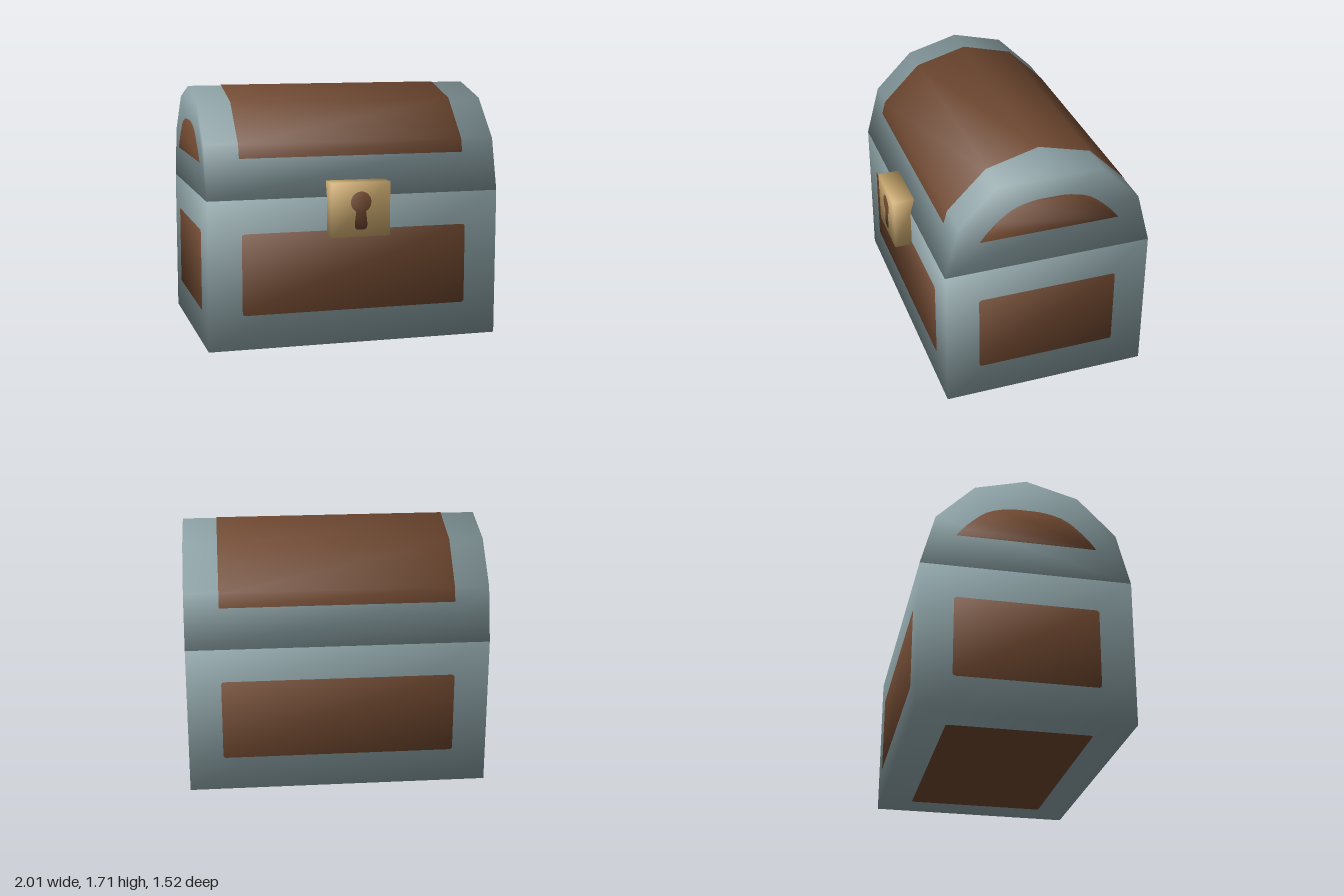
import * as THREE from 'three';

const CZ = -0.06;      // depth centre of the chest body
const R = 0.7;         // half depth and lid radius
const GAP = 0.004;     // how far painted panels stand off the surface

// Replace the normals of a geometry by a rule of position, for soft shading
function shade(geo, rule) {
  const p = geo.attributes.position, n = geo.attributes.normal, v = new THREE.Vector3();
  for (let i = 0; i < p.count; i++) {
    rule(v.fromBufferAttribute(p, i)).normalize();
    n.setXYZ(i, v.x, v.y, v.z);
  }
  return geo;
}
const boxRule = (cx, cy, cz, hx, hy, hz) => v =>
  v.set((v.x - cx) / hx, (v.y - cy) / hy, (v.z - cz) / hz);
const baseRule = boxRule(0, 0.5, CZ, 1, 0.5, R);
const lockRule = boxRule(0, 0.925, 0.68, 0.2, 0.18, 0.08);
const lidRule = v => v.set(
  0.7 * v.x,
  (v.y - 1) / R + 0.7 * Math.min(0, (v.y - 1.35) / 0.35),
  (v.z - CZ) / R);

function roundedRect(w, h, r = 0.02) {
  const s = new THREE.Shape(), x = w / 2 - r, y = h / 2 - r;
  s.absarc(x, y, r, 0, Math.PI / 2);
  s.absarc(-x, y, r, Math.PI / 2, Math.PI);
  s.absarc(-x, -y, r, Math.PI, Math.PI * 1.5);
  s.absarc(x, -y, r, Math.PI * 1.5, Math.PI * 2);
  return new THREE.ShapeGeometry(s, 3);
}

export function createModel() {
  const chest = new THREE.Group();
  chest.name = 'chest';
  const material = (name, color) => {
    const m = new THREE.MeshStandardMaterial({ color });
    m.name = name;
    return m;
  };
  const metal = material('blue grey metal', 0x8a9fa3);
  const wood = material('brown wood', 0x6f4830);
  const gold = material('gold', 0xcdab6f);
  const add = (name, geo, mat, rule) => {
    const mesh = new THREE.Mesh(shade(geo, rule), mat);
    mesh.name = name;
    chest.add(mesh);
  };

  // Base box
  add('base', new THREE.BoxGeometry(2, 1, 2 * R).translate(0, 0.5, CZ), metal, baseRule);

  // Wooden panels on the four walls and the underside
  const panelY = 0.503, panelH = 0.545;
  for (const s of [1, -1]) {
    const turn = s > 0 ? 0 : Math.PI;
    add(s > 0 ? 'frontPanel' : 'backPanel',
      roundedRect(1.545, panelH).rotateY(turn).translate(0, panelY, CZ + s * (R + GAP)), wood, baseRule);
    add(s > 0 ? 'leftPanel' : 'rightPanel',
      roundedRect(0.95, panelH).rotateY(s * Math.PI / 2).translate(s * (1 + GAP), panelY, CZ), wood, baseRule);
  }
  add('bottomPanel',
    roundedRect(1.545, 0.95).rotateX(Math.PI / 2).translate(0, -0.002, CZ), wood, baseRule);

  // Faceted barrel lid, half of a twelve-sided cylinder
  const arc = [];
  for (let i = 0; i <= 6; i++) {
    const a = i * Math.PI / 6;
    arc.push(new THREE.Vector2(R * Math.cos(a), R * Math.sin(a)));
  }
  const lid = new THREE.ExtrudeGeometry(new THREE.Shape(arc), { depth: 2, bevelEnabled: false });
  lid.translate(0, 0, -1).rotateY(-Math.PI / 2).translate(0, 1, CZ);
  add('lid', lid, metal, lidRule);

  // Wooden sheet wrapped over the lid, starting part way up the first facets
  const wrap = arc.map(p => p.clone());
  wrap[0].lerp(arc[1], 0.26 / 0.35);
  wrap[6].lerp(arc[5], 0.26 / 0.35);
  const sheet = new THREE.PlaneGeometry(1.545, 1, 1, 6);
  const pos = sheet.attributes.position;
  for (let i = 0; i < pos.count; i++) {
    const p = wrap[6 - Math.floor(i / 2)];
    const k = 1 + GAP / R;
    pos.setXYZ(i, pos.getX(i), 1 + p.y * k, CZ + p.x * k);
  }
  add('lidPanel', sheet, wood, lidRule);

  // Arched panels on the lid ends
  const half = [[0.47, 1.225], [0.4, 1.31], [0.27, 1.42], [0.13, 1.464]];
  const archPoints = [...half, [0, 1.47], ...half.map(([x, y]) => [-x, y]).reverse()]
    .map(([x, y]) => new THREE.Vector2(x, y));
  const arch = new THREE.Shape(new THREE.SplineCurve(archPoints).getPoints(24));
  for (const s of [1, -1]) {
    add(s > 0 ? 'leftLidPanel' : 'rightLidPanel',
      new THREE.ShapeGeometry(arch).rotateY(s * Math.PI / 2).translate(s * (1 + GAP), 0, CZ), wood, lidRule);
  }

  // Lock plate with a keyhole
  add('lock', new THREE.BoxGeometry(0.4, 0.36, 0.156).translate(0, 0.925, 0.68), gold, lockRule);
  const hole = new THREE.Shape();
  hole.absarc(0, 0.975, 0.07, -Math.PI * 0.34, Math.PI * 1.34);
  hole.lineTo(-0.043, 0.83);
  hole.quadraticCurveTo(-0.043, 0.793, -0.02, 0.793);
  hole.lineTo(0.02, 0.793);
  hole.quadraticCurveTo(0.043, 0.793, 0.043, 0.83);
  add('keyhole', new THREE.ShapeGeometry(hole, 10).translate(0, 0, 0.761), wood, lockRule);

  return chest;
}
